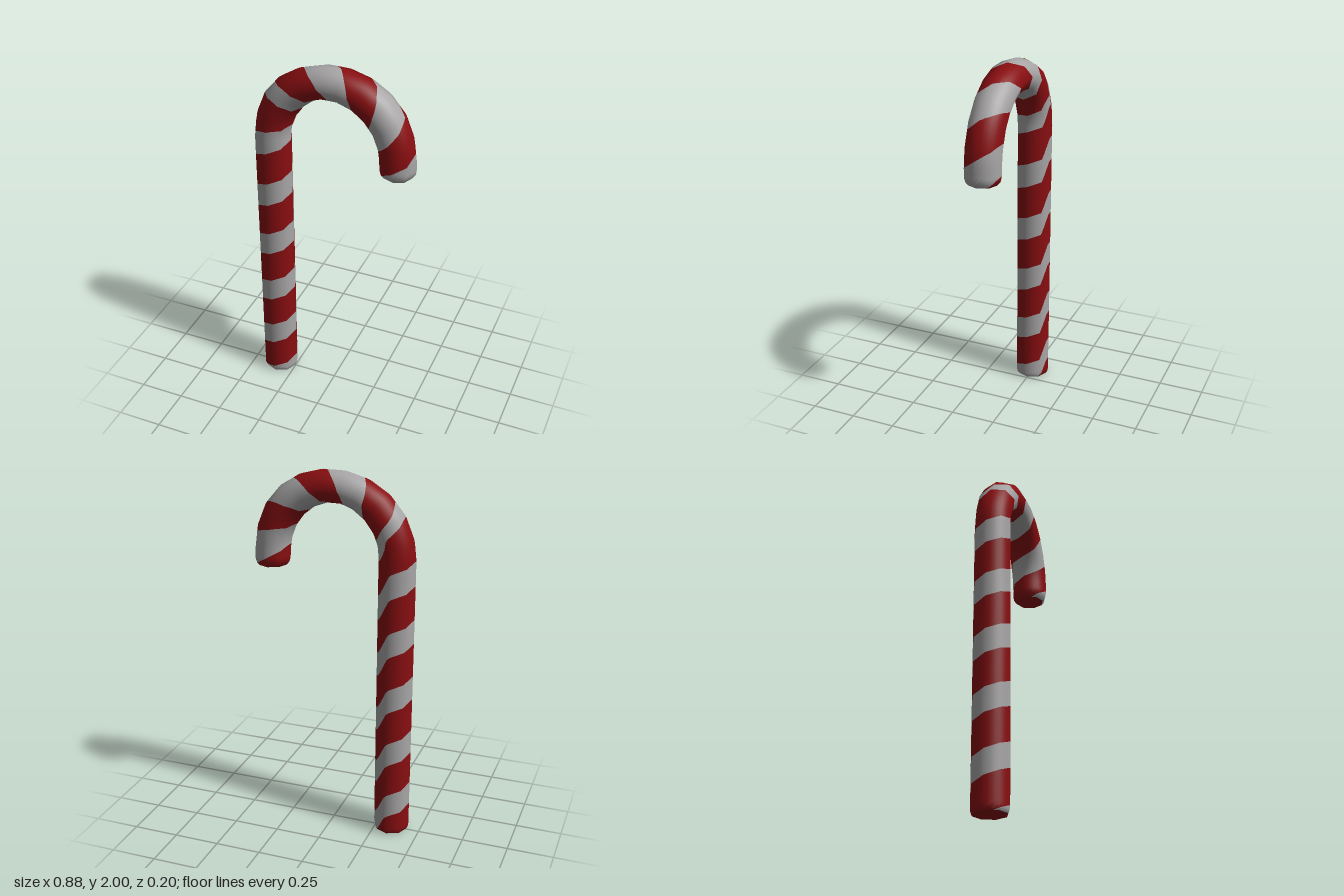
import * as THREE from 'three';

const SIDES = 8, PITCH = 0.316, FIRST = 0.136;   // octagonal tube, helix pitch, first red centre
const { smoothstep, lerp, clamp, degToRad } = THREE.MathUtils;

const red = new THREE.MeshStandardMaterial({ color: 0x880e11 });
red.name = 'candy red';
const white = new THREE.MeshStandardMaterial({ color: 0xa7a5a5 });
white.name = 'candy white';

// Rings along the cane: centre, outward bend angle, in-plane radius, depth radius, normal lean
function makeRings() {
  const rings = [];
  const add = (x, y, a, r, rz = r, lean = 0) => rings.push({ x, y, a, r, rz, lean });
  const H = Math.PI / 2;
  add(-0.34, 0.006, -H, 0.09, 0.09, -0.7);
  add(-0.34, 0.03, -H, 0.1);
  add(-0.34, 1.57, -H, 0.1);
  for (let d = -76.5; d < 80; d += 17) {
    const a = degToRad(d);
    const r = 0.1 - 0.014 * Math.cos(a) ** 4;
    add(0.34 * Math.sin(a), 1.57 + 0.347 * Math.cos(a), a, r, 0.1);
  }
  add(0.342, 1.57, H, 0.1);
  add(0.344, 1.52, H, 0.1);
  add(0.345, 1.49, H, 0.093, 0.093, 0.5);
  add(0.345, 1.472, H, 0.077, 0.077, 0.9);
  // running length along the centre line
  rings[0].s = 0;
  for (let i = 1; i < rings.length; i++) {
    const p = rings[i - 1], q = rings[i];
    q.s = p.s + Math.hypot(q.x - p.x, q.y - p.y);
  }
  return rings;
}

// Corner k of a ring, with its smooth normal; k = 0 faces front, then the inner side
function corner(ring, k) {
  const t = (k / SIDES) * Math.PI * 2;
  const ix = -Math.sin(ring.a), iy = -Math.cos(ring.a);
  const u = Math.sin(t), z = Math.cos(t);
  const tx = Math.cos(ring.a), ty = -Math.sin(ring.a);
  return {
    p: new THREE.Vector3(ring.x + ix * u * ring.r, ring.y + iy * u * ring.r, z * ring.rz),
    n: new THREE.Vector3(ix * u + tx * ring.lean, iy * u + ty * ring.lean, z).normalize(),
  };
}

// Point on the faceted tube at length s and turn count
function surface(rings, s, turn) {
  let i = 0;
  while (i < rings.length - 2 && s > rings[i + 1].s) i++;
  const v = (s - rings[i].s) / (rings[i + 1].s - rings[i].s);
  const f = (turn - Math.floor(turn)) * SIDES;
  const k = Math.floor(f), u = f - k;
  const [a, b, c, d] = [corner(rings[i], k), corner(rings[i], k + 1),
    corner(rings[i + 1], k), corner(rings[i + 1], k + 1)];
  const mix = (key) => a[key].lerp(b[key], u).lerp(c[key].lerp(d[key], u), v);
  return { p: mix('p'), n: mix('n').normalize() };
}

// Helical ribbon between two edges, each giving length s for a turn count
function ribbon(rings, lower, upper) {
  const L = rings[rings.length - 1].s, STEPS = 32, ACROSS = 10;
  const from = -2 * STEPS, to = Math.ceil((L / PITCH + 2) * STEPS);
  const pos = [], nor = [], index = [];
  const lengths = [];
  for (let i = from; i <= to; i++) {
    const turn = i / STEPS;
    for (let j = 0; j <= ACROSS; j++) {
      const s = clamp(lerp(lower(turn), upper(turn), j / ACROSS), 0, L);
      const { p, n } = surface(rings, s, turn);
      pos.push(p.x, p.y, p.z);
      nor.push(n.x, n.y, n.z);
      lengths.push(s);
    }
  }
  const row = ACROSS + 1;
  for (let i = 0; i < to - from; i++) {
    for (let j = 0; j < ACROSS; j++) {
      const a = i * row + j, b = a + row;
      const quad = [a, b, b + 1, a + 1].map((q) => lengths[q]);
      if (Math.max(...quad) <= 0 || Math.min(...quad) >= L) continue;
      index.push(a, b, b + 1, a, b + 1, a + 1);
    }
  }
  const g = new THREE.BufferGeometry();
  g.setAttribute('position', new THREE.Float32BufferAttribute(pos, 3));
  g.setAttribute('normal', new THREE.Float32BufferAttribute(nor, 3));
  g.setIndex(index);
  return g;
}

// Shallow octagonal cap facing down
function cap(name, ring, tipY) {
  const h = ring.y - tipY;
  const mesh = new THREE.Mesh(new THREE.ConeGeometry(ring.r, h, SIDES, 1, true), red);
  mesh.rotation.x = Math.PI;
  mesh.position.set(ring.x, ring.y - h / 2, 0);
  mesh.name = name;
  return mesh;
}

// Uneven winding of the shaft stripes: flatter all round, steep across one seam at the back
function wobble(turn) {
  const u = turn - 0.43 - Math.floor(turn - 0.43);
  const EDGE = 0.05;
  const ramp = u < EDGE ? (0.5 - EDGE) * (u / EDGE)
    : u > 1 - EDGE ? (0.5 - EDGE) * ((u - 1) / EDGE) : 0.5 - u;
  return 0.3 * PITCH * ramp;
}

export function createModel() {
  const cane = new THREE.Group();
  cane.name = 'candyCane';
  const rings = makeRings();

  // Stripes sit a little earlier, even and narrower on the hook than on the shaft
  const helix = (turn) => FIRST + PITCH * turn;
  const hook = (turn) => smoothstep(helix(turn), 1.65, 1.95);
  const centre = (turn) => helix(turn) - 0.06 * hook(turn) + wobble(turn) * (1 - hook(turn));
  const half = (turn) => PITCH * 0.5 * (0.58 - 0.09 * hook(turn));
  const redLow = (t) => centre(t) - half(t);
  const redHigh = (t) => centre(t) + half(t);

  const redStripe = new THREE.Mesh(ribbon(rings, redLow, redHigh), red);
  redStripe.name = 'redStripe';
  const whiteStripe = new THREE.Mesh(ribbon(rings, redHigh, (t) => redLow(t + 1)), white);
  whiteStripe.name = 'whiteStripe';

  cane.add(redStripe, whiteStripe,
    cap('footCap', rings[0], 0),
    cap('hookCap', rings[rings.length - 1], 1.468));
  return cane;
}
